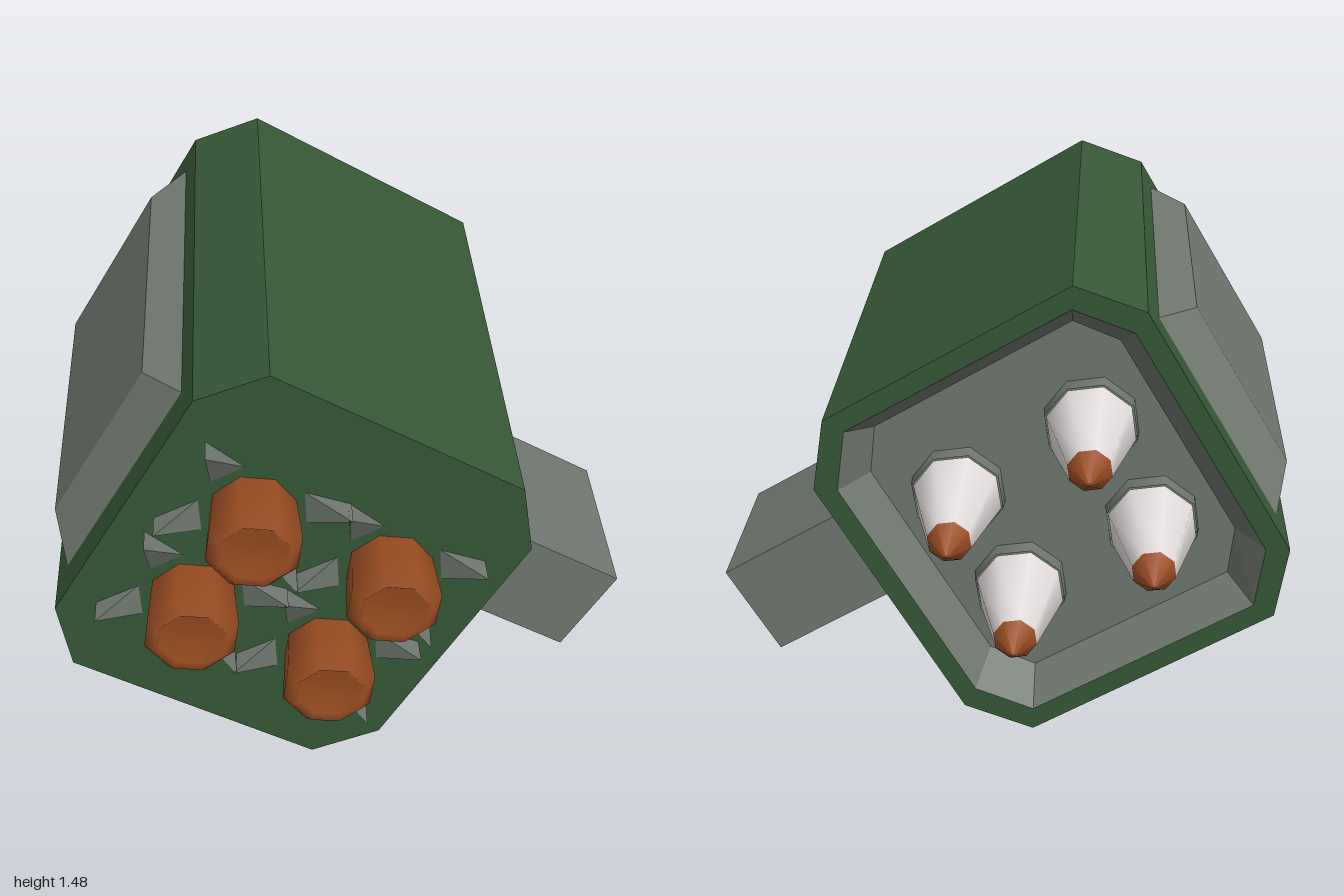
import * as THREE from 'three';

const mat = (name, color, side = THREE.FrontSide) => {
  const m = new THREE.MeshStandardMaterial({ color, side });
  m.name = name;
  return m;
};

// Flat-faced loft through loops of [x, y, z], counter-clockwise seen from +z.
function loft(loops, capStart, capEnd) {
  const pos = [];
  const tri = (...pts) => pts.forEach((p) => pos.push(...p));
  const n = loops[0].length;
  for (let k = 0; k + 1 < loops.length; k++) {
    const a = loops[k], b = loops[k + 1];
    for (let i = 0; i < n; i++) {
      const j = (i + 1) % n;
      tri(a[i], a[j], b[j]);
      tri(a[i], b[j], b[i]);
    }
  }
  const s = loops[0], e = loops[loops.length - 1];
  for (let i = 1; i + 1 < n; i++) {
    if (capStart) tri(s[0], s[i + 1], s[i]);
    if (capEnd) tri(e[0], e[i], e[i + 1]);
  }
  const g = new THREE.BufferGeometry();
  g.setAttribute('position', new THREE.Float32BufferAttribute(pos, 3));
  g.computeVertexNormals();
  return g;
}

// Rectangle and chamfered-rectangle cross-sections
const rect = (hx, y0, y1, z, cx = 0) =>
  [[cx - hx, y0, z], [cx + hx, y0, z], [cx + hx, y1, z], [cx - hx, y1, z]];

function octagon(inset, z) {
  const w = 0.557 - inset, h = 0.597 - inset;
  const cw = 0.415 - inset * 0.6, ch = 0.425 - inset * 0.6;
  return [[w, -ch], [w, ch], [cw, h], [-cw, h], [-w, ch], [-w, -ch], [-cw, -h], [cw, -h]]
    .map(([x, y]) => [x, y, z]);
}

export function createModel() {
  const green = mat('armour green', 0x365836);
  const grey = mat('metal grey', 0x6f776f, THREE.DoubleSide);
  const white = mat('rocket white', 0xe3dddd);
  const orange = mat('rocket orange', 0x984c22);

  const model = new THREE.Group();
  model.name = 'rocketPod';
  const pod = new THREE.Group();
  pod.name = 'tiltedPod';
  pod.position.set(-0.195, 0.755, 0);
  pod.rotation.z = -0.541;
  model.add(pod);

  const add = (parent, name, geometry, material) => {
    const mesh = new THREE.Mesh(geometry, material);
    mesh.name = name;
    parent.add(mesh);
    return mesh;
  };

  // Housing with a rim at the back, and the recess inside it
  add(pod, 'housing', loft([octagon(0.06, -0.7), octagon(0, -0.7), octagon(0, 0.8)], false, true), green);
  add(pod, 'rearRecess', loft([octagon(0.13, -0.57), octagon(0.06, -0.7)], true, false), grey);

  // Side mount: open collar and open square arm
  add(pod, 'mountCollar', loft([
    rect(0.545, -0.31, 0.31, 0.556, -0.055),
    rect(0.29, -0.173, 0.155, 0.658, -0.05),
  ]).rotateY(Math.PI / 2), grey);
  add(pod, 'mountArm', loft([
    rect(0.29, -0.173, 0.155, 0.658, -0.05),
    rect(0.29, -0.173, 0.155, 1.174, -0.05),
  ]).rotateY(Math.PI / 2), grey);

  // Bevelled plate on the other side
  add(pod, 'sidePlate', loft([
    rect(0.635, -0.36, 0.36, 0.556, 0.045),
    rect(0.5, -0.28, 0.285, 0.645, 0.05),
  ], false, true).rotateY(-Math.PI / 2), grey);

  // Rocket parts, turned around the z axis; profiles are [radius, z] from front to back
  const turned = (profile) => new THREE.LatheGeometry(
    profile.map(([r, z]) => new THREE.Vector2(r, -z)), 8).rotateX(-Math.PI / 2);
  const nozzleGeo = turned([[0, 0.98], [0.095, 0.985], [0.11, 1], [0.14, 0.965], [0.128, 0.79]]);
  const collarGeo = turned([[0.145, -0.56], [0.14, -0.62]]);
  const bodyGeo = turned([[0.135, -0.62], [0.065, -0.9]]);
  const tipGeo = turned([[0.065, -0.9], [0, -1]]);
  // Swept fin: wide at the root, rising to a point at the outside
  const finGeo = loft([
    [[0.15, -0.055, 0.8], [0.28, 0, 0.8], [0.15, 0.055, 0.8]],
    [[0.15, -0.055, 0.8], [0.28, 0, 0.88], [0.15, 0.055, 0.8]],
  ], false, true);

  for (const x of [-0.228, 0.228]) {
    for (const y of [-0.195, 0.168]) {
      const rocket = new THREE.Group();
      rocket.name = 'rocket';
      rocket.position.set(x, y, 0);
      pod.add(rocket);
      add(rocket, 'nozzle', nozzleGeo, orange);
      add(rocket, 'collar', collarGeo, grey);
      add(rocket, 'warhead', bodyGeo, white);
      add(rocket, 'warheadTip', tipGeo, orange);
      for (const a of [0.58, Math.PI - 0.58, Math.PI + 0.58, -0.58]) {
        add(rocket, 'fin', finGeo, grey).rotation.z = a;
      }
    }
  }
  return model;
}
